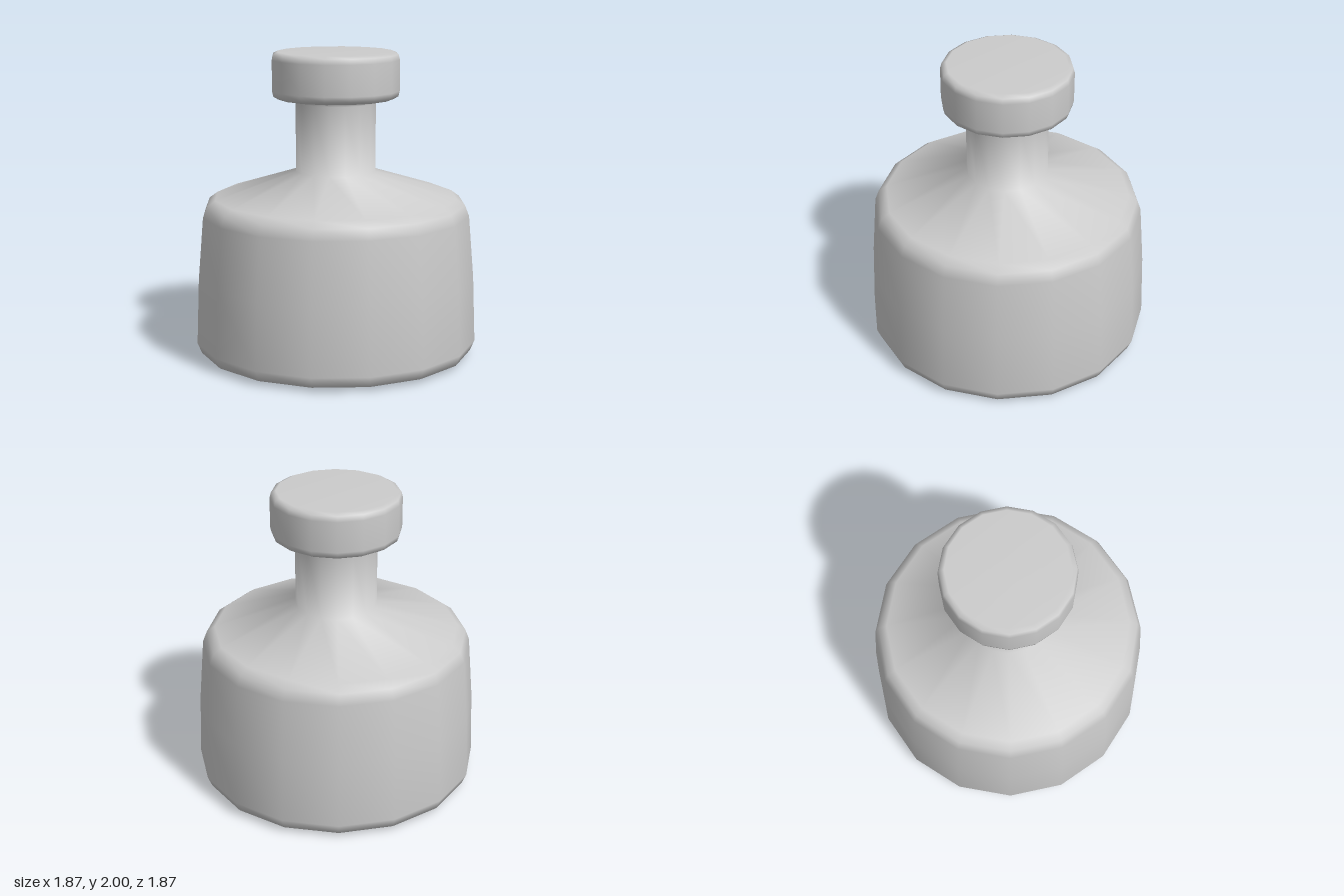
import * as THREE from 'three';

const SIDES = 16;

// Turns a profile of [radius, height] pairs, listed from bottom to top.
function turned(name, profile, material) {
  const points = profile.map(([r, y]) => new THREE.Vector2(r, y));
  const mesh = new THREE.Mesh(new THREE.LatheGeometry(points, SIDES), material);
  mesh.name = name;
  return mesh;
}

export function createModel() {
  const group = new THREE.Group();
  group.name = 'stopperedFlask';
  const material = new THREE.MeshStandardMaterial({ color: 0xcccccc });

  // Tapered body with rounded edges, sloping shoulder and straight neck
  group.add(turned('bodyAndNeck', [
    [0, 0], [0.82, 0.005], [0.905, 0.03], [0.934, 0.1],
    [0.917, 0.53], [0.882, 0.94], [0.855, 1.01], [0.8, 1.05],
    [0.265, 1.22], [0.265, 1.67], [0.285, 1.695],
  ], material));

  // Wide cap with softened rims, overhanging the neck
  group.add(turned('cap', [
    [0.285, 1.695], [0.38, 1.697], [0.411, 1.715], [0.42, 1.75],
    [0.42, 1.95], [0.411, 1.985], [0.38, 2], [0, 2],
  ], material));

  return group;
}
